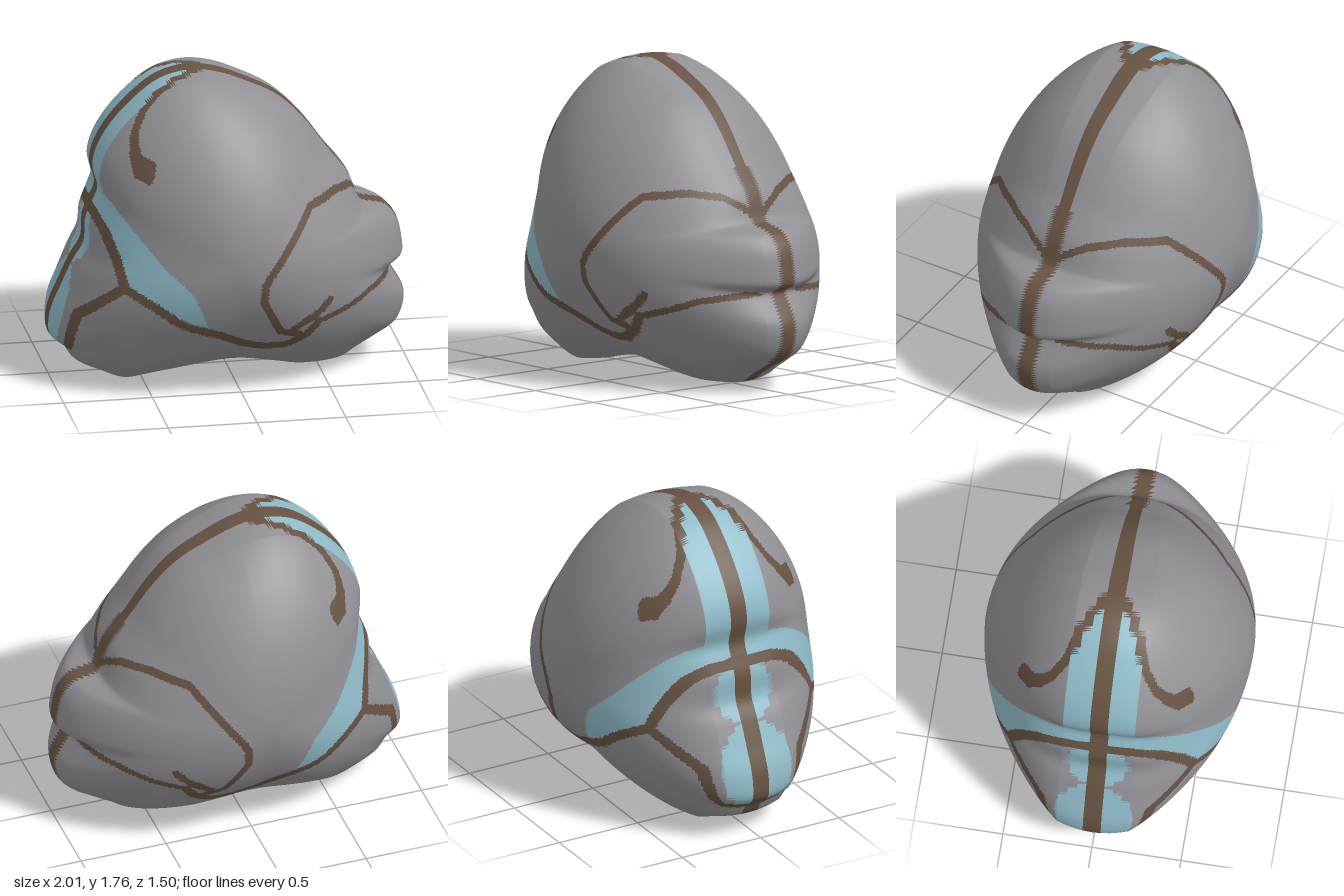
import * as THREE from 'three';

const mat = (name, color) => Object.assign(new THREE.MeshStandardMaterial({ color }), { name });

// side outline of the body, clockwise from the crown
const OUTLINE = [[-.21, 1.76], [-.05, 1.735], [.1, 1.675], [.25, 1.6], [.34, 1.53], [.45, 1.41], [.55, 1.27], [.68, 1.1],
  [.76, .92], [.86, .915], [.95, .83], [.985, .7], [.985, .6], [.9, .575], [.95, .48], [1, .38], [.96, .22], [.85, .15],
  [.72, .08], [.64, .03], [.4, .015], [.25, .05], [0, .1], [-.25, .07], [-.45, .03], [-.62, 0], [-.75, .05], [-.88, .11],
  [-.92, .18], [-1, .24], [-1, .38], [-.93, .55], [-.87, .68], [-.81, .78], [-.8, .92], [-.76, 1.02], [-.73, 1.1],
  [-.76, 1.22], [-.74, 1.33], [-.66, 1.47], [-.52, 1.62], [-.38, 1.72]];
const CX = -.03, CY = .8, DEPTH = .75, BODY_EDGE = .98;
const N = 480, RINGS = 66, WALL = 8;

// painted lines: half width, then points; measured in the plane of the side (x, y)
const SIDE_LINES = [
  [.026, [-.79, 1.02], [-.74, .94], [-.69, .8], [-.66, .66], [-.5, .57], [-.35, .465], [-.15, .39], [0, .31], [.12, .275],
    [.25, .285], [.36, .35], [.42, .43]],
  [.018, [.42, .43], [.6, .48], [.75, .54], [.88, .565]],
  [.024, [-.66, .66], [-.75, .58], [-.89, .45], [-.92, .33], [-.93, .18]],
  [.022, [.31, .355], [.2, .39], [.09, .6], [.1, .72], [.25, .92], [.38, 1.09], [.5, 1.105]],
  [.022, [.28, .4], [.37, .46], [.44, .51], [.48, .56]],
];
// in the plane of the end (distance from the seam, y)
const END_LINES = [[.02, [.52, 1.105], [.35, 1.11], [.2, 1.085], [.1, 1.03], [0, .95]]];
// in the plane of the top (x, distance from the seam)
const TOP_LINES = [[.026, [-.11, .02], [-.24, .1], [-.37, .17], [-.5, .22], [-.565, .29], [-.575, .35], [-.56, .41],
  [-.5, .47]]];

// painted side patch
const PATCH = [[-.8, 1.16], [-.7, 1.1], [-.45, .8], [-.3, .66], [-.21, .45], [-.4, .5], [-.5, .57], [-.64, .66],
  [-.68, .8], [-.76, 1]];

// outline radius at each angle
function outlineRadii() {
  const curve = new THREE.CatmullRomCurve3(OUTLINE.map(([x, y]) => new THREE.Vector3(x - CX, y - CY, 0)), true);
  const pts = curve.getPoints(300);
  return Array.from({ length: N }, (_, j) => {
    const a = j / N * Math.PI * 2, c = Math.cos(a), s = Math.sin(a);
    let best = 0;
    for (let i = 0; i < 300; i++) {
      const p = pts[i], dx = pts[i + 1].x - p.x, dy = pts[i + 1].y - p.y;
      const den = c * dy - s * dx;
      if (Math.abs(den) < 1e-9) continue;
      const r = (p.x * dy - p.y * dx) / den, t = (p.x * s - p.y * c) / den;
      if (t >= -1e-6 && t <= 1 + 1e-6 && r > best) best = r;
    }
    return best;
  });
}

// running average round the circle
function soften(list, reach) {
  return list.map((_, j) => {
    let sum = 0, weight = 0;
    for (let k = -reach; k <= reach; k++) {
      const w = 1 - Math.abs(k) / (reach + 1);
      sum += list[(j + k + N) % N] * w;
      weight += w;
    }
    return sum / weight;
  });
}

function nearLine(lines, u, v) {
  return lines.some(([half, ...pts]) => pts.slice(1).some(([bx, by], i) => {
    const [ax, ay] = pts[i], dx = bx - ax, dy = by - ay;
    const t = Math.min(1, Math.max(0, ((u - ax) * dx + (v - ay) * dy) / (dx * dx + dy * dy)));
    return Math.hypot(u - ax - dx * t, v - ay - dy * t) < half;
  }));
}

function inPatch(x, y) {
  let inside = false;
  PATCH.forEach(([ax, ay], i) => {
    const [bx, by] = PATCH[(i + 1) % PATCH.length];
    if ((ay > y) !== (by > y) && x < ax + (y - ay) / (by - ay) * (bx - ax)) inside = !inside;
  });
  return inside;
}

// width of the pale band beside the seam: a tapering top and two rounded lobes
function bandWidth(x, y) {
  const lobe = (mid, half, width) => width * Math.sqrt(Math.max(0, 1 - ((y - mid) / half) ** 2));
  if (x > -.18) return 0;
  return y > 1 ? Math.min(.19, (-.15 - x) * .9) : Math.max(lobe(.42, .25, .22), lobe(.83, .17, .18));
}

// 0 body, 1 lines and seam, 2 pale patches
function paint(x, y, z) {
  const d = Math.abs(z);
  if (d < .047 || nearLine(SIDE_LINES, x, y)) return 1;
  if (x > .5 && nearLine(END_LINES, d, y)) return 1;
  if (y > 1.2 && nearLine(TOP_LINES, x, d)) return 1;
  return inPatch(x, y) || d < bandWidth(x, y) ? 2 : 0;
}

export function createModel() {
  const group = new THREE.Group();
  group.name = 'inflatedBody';
  const sharp = soften(outlineRadii(), 2), smooth = soften(sharp, 50);

  // rows run from the front pole, over the rounded rim, to the back pole
  const rows = [];
  const ring = i => BODY_EDGE * (1 - (1 - i / RINGS) ** 1.5);
  for (let i = 0; i <= RINGS; i++) rows.push([ring(i), 1]);
  for (let i = 1; i < WALL; i++) {
    const t = 1 - 2 * i / WALL;
    rows.push([1 - (1 - BODY_EDGE) * t * t, t]);
  }
  for (let i = RINGS; i >= 0; i--) rows.push([ring(i), -1]);

  const pos = [];
  for (const [s, side] of rows) {
    const e = Math.min(s, BODY_EDGE);
    for (let j = 0; j < N; j++) {
      const a = j / N * Math.PI * 2, right = Math.max(0, Math.cos(a));
      // creases of the outline fade quickly towards the middle
      const r = s * (smooth[j] + (sharp[j] - smooth[j]) * s ** 7);
      const z = DEPTH * Math.sqrt(1 - (.96 + .035 * right) * e ** (1.72 + .28 * right)) * (1 - .2 * right * e ** 3);
      pos.push(CX + r * Math.cos(a), CY + r * Math.sin(a), z * side);
    }
  }

  // sort the triangles by colour
  const faces = [[], [], []];
  const last = rows.length - 1;
  const id = (i, j) => i * N + (i === 0 || i === last ? 0 : j % N);
  const add = (...t) => {
    if (t[0] === t[1] || t[1] === t[2] || t[0] === t[2]) return;
    const mid = k => (pos[t[0] * 3 + k] + pos[t[1] * 3 + k] + pos[t[2] * 3 + k]) / 3;
    faces[paint(mid(0), mid(1), mid(2))].push(...t);
  };
  for (let i = 0; i < last; i++) {
    for (let j = 0; j < N; j++) {
      add(id(i, j), id(i + 1, j), id(i + 1, j + 1));
      add(id(i, j), id(i + 1, j + 1), id(i, j + 1));
    }
  }

  // one smooth skin shared by all three colours
  const skin = new THREE.BufferGeometry();
  skin.setAttribute('position', new THREE.Float32BufferAttribute(pos, 3));
  skin.setIndex(faces[0].concat(faces[1], faces[2]));
  skin.computeVertexNormals();

  const parts = [['body', mat('grey', 0x919095)], ['seamAndLines', mat('brown', 0x675343)],
    ['palePatches', mat('paleBlue', 0x8fbbc9)]];
  parts.forEach(([name, material], k) => {
    const geo = new THREE.BufferGeometry();
    geo.setAttribute('position', skin.getAttribute('position'));
    geo.setAttribute('normal', skin.getAttribute('normal'));
    geo.setIndex(faces[k]);
    const mesh = new THREE.Mesh(geo, material);
    mesh.name = name;
    group.add(mesh);
  });
  return group;
}
